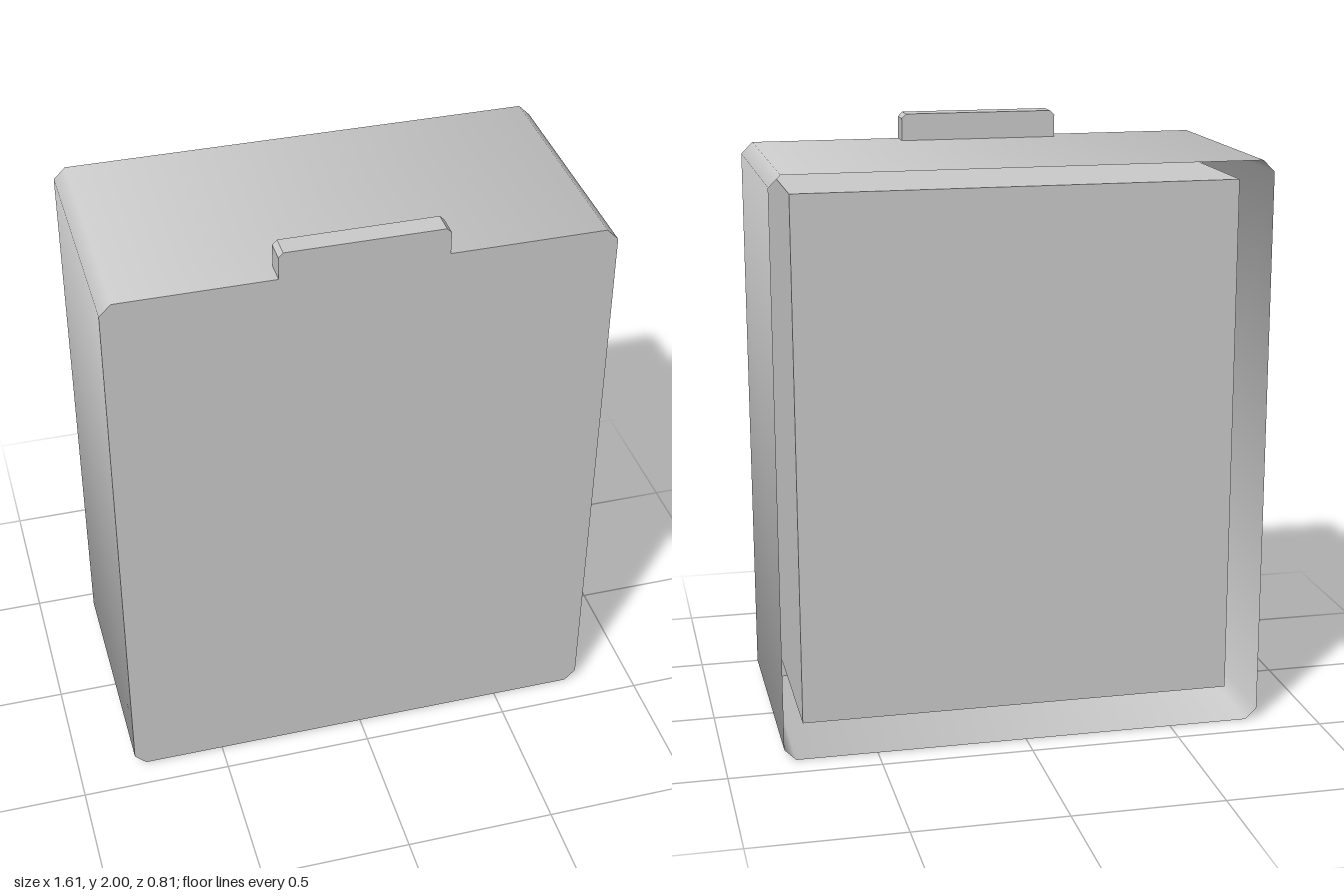
import * as THREE from 'three';

const W = 0.807, H = 1.91, C = 0.038; // half width, height, corner cut
const FRONT = 0.405, PLATE_BACK = 0.33, BACK = -0.405;
const INSET = 0.076, CORE_BACK = -0.289; // gap around the inner block, its rear face

// Right half of each outline, bottom to top; mirrored to close the loop
const bodyHalf = [[W - C, 0], [W, C], [W, H - C], [W - C, H]];
const tabHalf = [[0.267, H], [0.267, 1.985], [0.252, 2]];

function outline(half) {
  const mirrored = half.map(([x, y]) => [-x, y]).reverse();
  return [...half, ...mirrored].map(([x, y]) => new THREE.Vector2(x, y));
}

// Open tube along z following an outline, with normals averaged at each corner
function wallGeometry(points, z0, z1) {
  const n = points.length;
  const pos = [], nor = [], index = [];
  const edgeNormal = (i) => {
    const d = points[(i + 1) % n].clone().sub(points[i % n]);
    return new THREE.Vector2(d.y, -d.x).normalize();
  };
  points.forEach((p, i) => {
    const m = edgeNormal(i).add(edgeNormal(i + n - 1)).normalize();
    pos.push(p.x, p.y, z0, p.x, p.y, z1);
    nor.push(m.x, m.y, 0, m.x, m.y, 0);
    const a = 2 * i, b = 2 * ((i + 1) % n);
    index.push(a, b, b + 1, a, b + 1, a + 1);
  });
  const g = new THREE.BufferGeometry();
  g.setAttribute('position', new THREE.Float32BufferAttribute(pos, 3));
  g.setAttribute('normal', new THREE.Float32BufferAttribute(nor, 3));
  g.setIndex(index);
  return g;
}

export function createModel() {
  const grey = new THREE.MeshStandardMaterial({ color: 0xcccccc, side: THREE.DoubleSide });
  grey.name = 'light grey';
  const model = new THREE.Group();
  model.name = 'openBackedCase';
  const add = (name, geometry, y, z) => {
    const mesh = new THREE.Mesh(geometry, grey);
    mesh.name = name;
    mesh.position.set(0, y, z);
    model.add(mesh);
    return mesh;
  };

  // Thin side walls, open at the back
  const body = outline(bodyHalf);
  add('sideWalls', wallGeometry(body, BACK, FRONT), 0, 0);

  // Both faces of the front plate
  const face = new THREE.ShapeGeometry(new THREE.Shape(body));
  add('frontPlateFace', face, 0, FRONT);
  add('frontPlateBack', face, 0, PLATE_BACK).rotation.y = Math.PI;

  // Tab on the top edge of the plate
  const tab = new THREE.ExtrudeGeometry(new THREE.Shape(outline(tabHalf)), {
    depth: FRONT - PLATE_BACK, bevelEnabled: false,
  });
  add('topTab', tab, 0, PLATE_BACK);

  // Square-cornered inner block, standing clear of the walls
  const depth = PLATE_BACK - CORE_BACK;
  const core = new THREE.BoxGeometry(2 * (W - INSET), H - 2 * INSET, depth);
  add('innerBlock', core, H / 2, CORE_BACK + depth / 2);

  return model;
}
